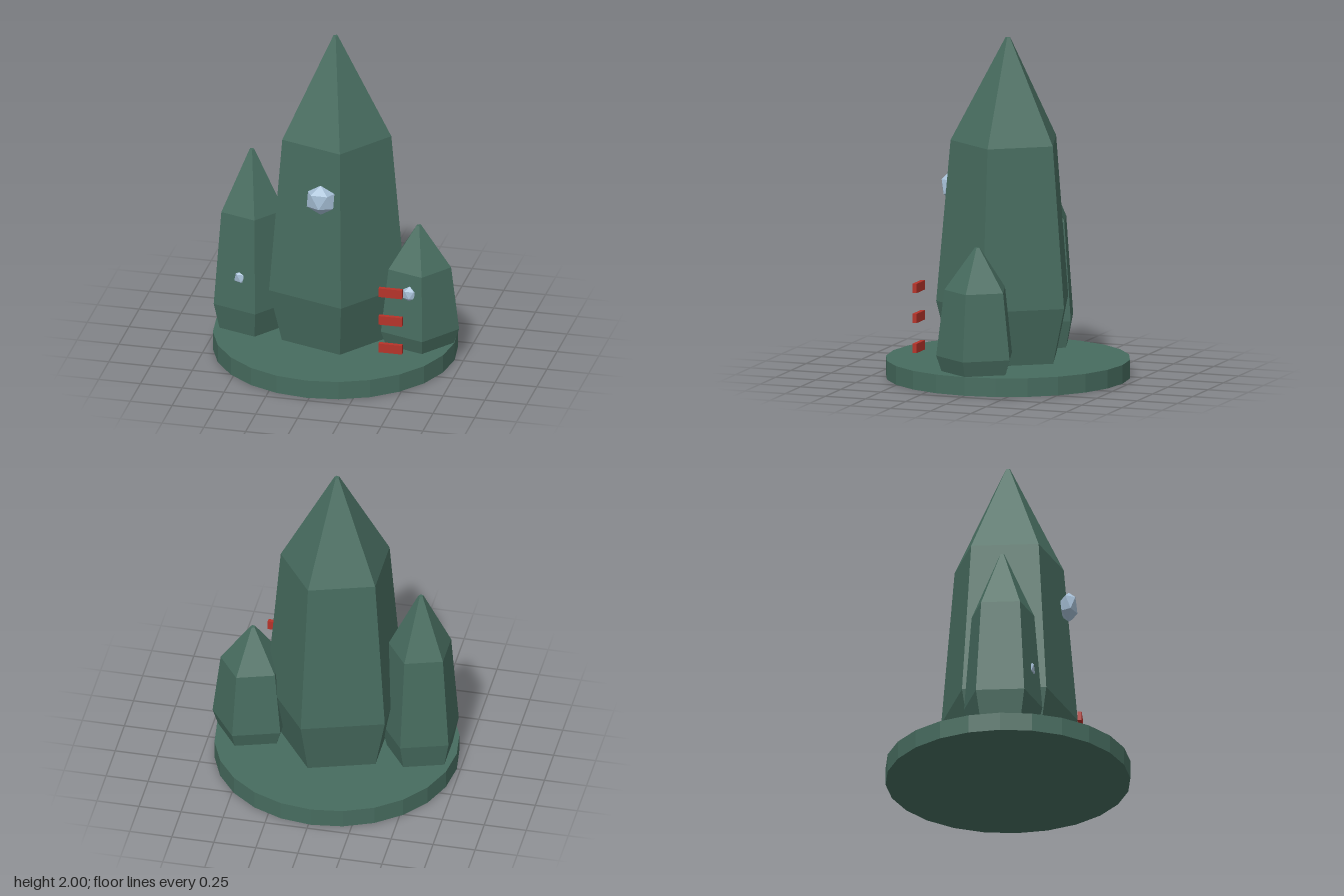
import * as THREE from 'three';

export function createModel() {
  const group = new THREE.Group();
  group.name = 'crystalCluster';

  const makeMaterial = (name, color) => {
    const m = new THREE.MeshStandardMaterial({ color, flatShading: true });
    m.name = name;
    return m;
  };
  const green = makeMaterial('darkGreen', 0x476c5f);
  const blue = makeMaterial('paleBlue', 0xa6bfd6);
  const red = makeMaterial('red', 0xb5332a);

  const add = (name, geometry, material, x, y, z) => {
    const mesh = new THREE.Mesh(geometry, material);
    mesh.name = name;
    mesh.position.set(x, y, z);
    group.add(mesh);
    return mesh;
  };

  // Round base plate
  add('base', new THREE.CylinderGeometry(0.713, 0.713, 0.11, 24), green, -0.015, 0.055, 0);

  // Five-sided spires: narrow foot, wide belly, shoulder, blunt tip
  const addSpire = (name, x, bottom, top, radius) => {
    const h = top - bottom;
    const profile = [
      [0, 0], [0.8 * radius, 0], [radius, 0.18 * h],
      [0.8 * radius, 0.68 * h], [0.015, h], [0, h],
    ].map(([r, y]) => new THREE.Vector2(r, y));
    add(name, new THREE.LatheGeometry(profile, 5, Math.PI / 2), green, x, bottom, 0);
  };
  addSpire('mainSpire', -0.015, 0.1, 2, 0.418);
  addSpire('rightSpire', -0.515, 0.06, 1.22, 0.24);
  addSpire('leftSpire', 0.485, 0.06, 0.84, 0.24);

  // Flattened gems set into the spires, one corner pointing up
  const addGem = (name, x, y, z, radius) => {
    const geometry = new THREE.IcosahedronGeometry(radius, 0);
    geometry.rotateX(THREE.MathUtils.degToRad(58.28));
    geometry.scale(1, 1, 0.6);
    add(name, geometry, blue, x, y, z);
  };
  addGem('mainGem', -0.018, 1.105, 0.355, 0.093);
  addGem('rightGem', -0.535, 0.47, 0.165, 0.05);
  addGem('leftGem', 0.47, 0.47, 0.165, 0.05);

  // Three floating rungs
  [0.22, 0.397, 0.574].forEach((y, i) => {
    add(`rung${i + 1}`, new THREE.BoxGeometry(0.14, 0.055, 0.025), red, 0.41, y, 0.393);
  });

  return group;
}
